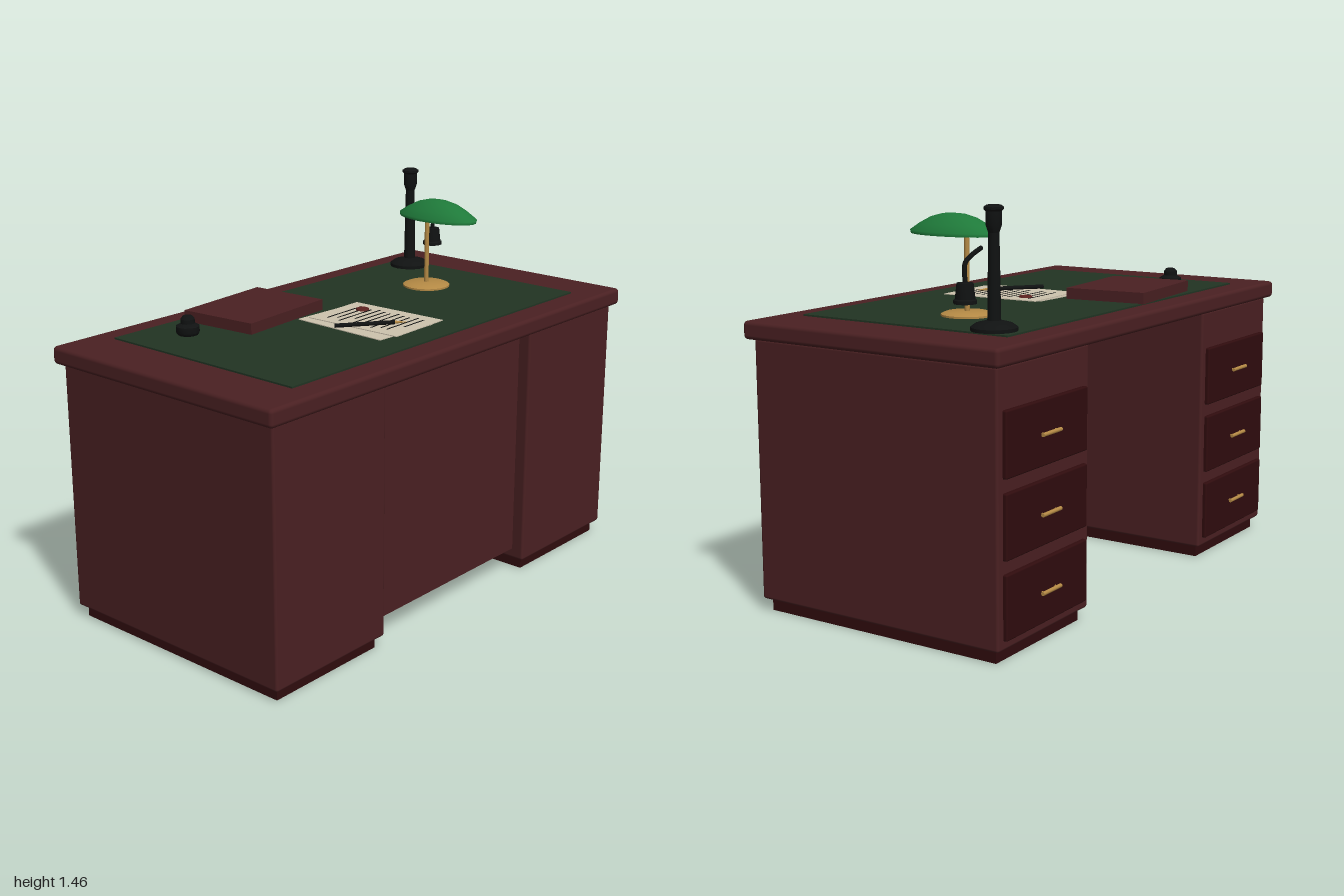
import * as THREE from 'three';
import { toCreasedNormals } from 'three/addons/utils/BufferGeometryUtils.js';
import { RoundedBoxGeometry } from 'three/addons/geometries/RoundedBoxGeometry.js';

const mat = (name, color, side = THREE.FrontSide) => {
  const m = new THREE.MeshStandardMaterial({ color, side });
  m.name = name;
  return m;
};

export function createModel() {
  const wood = mat('mahogany', 0x4a2022);
  const darkWood = mat('dark mahogany', 0x300c0e);
  const felt = mat('green leather', 0x213423);
  const shadeGreen = mat('lamp green', 0x1f7a3a, THREE.DoubleSide);
  const brass = mat('brass', 0xb58a45);
  const black = mat('black', 0x101212);
  const cream = mat('paper', 0xcdc3ae);
  const wax = mat('sealing wax', 0x5e2320);

  const desk = new THREE.Group();
  desk.name = 'writingDesk';

  const add = (parent, name, geo, material, x = 0, y = 0, z = 0) => {
    const m = new THREE.Mesh(geo, material);
    m.name = name;
    m.position.set(x, y, z);
    parent.add(m);
    return m;
  };
  const group = (name, x, y, z, turn = 0) => {
    const g = new THREE.Group();
    g.name = name;
    g.position.set(x, y, z);
    g.rotation.y = turn;
    desk.add(g);
    return g;
  };
  const box = (w, h, d) => new THREE.BoxGeometry(w, h, d);
  const rounded = (w, h, d, r) => new RoundedBoxGeometry(w, h, d, 2, r);
  const lathe = (points, sides = 20) => toCreasedNormals(
    new THREE.LatheGeometry(points.map(([r, y]) => new THREE.Vector2(r, y)), sides), 0.6);
  // Cylinder running between two points
  const rod = (parent, name, a, b, r0, r1, material) => {
    const from = new THREE.Vector3(...a), to = new THREE.Vector3(...b);
    const dir = to.clone().sub(from);
    const m = add(parent, name, new THREE.CylinderGeometry(r1, r0, dir.length(), 10), material);
    m.position.copy(from).add(to).multiplyScalar(0.5);
    m.quaternion.setFromUnitVectors(new THREE.Vector3(0, 1, 0), dir.normalize());
    return m;
  };

  // Desk top, leather inlay and rear panel
  add(desk, 'deskTop', rounded(1.06, 0.065, 2, 0.015), wood, 0, 1.0085, 0);
  add(desk, 'leatherInlay', box(0.86, 0.008, 1.6), felt, 0, 1.043, 0);
  add(desk, 'modestyPanel', box(0.04, 0.88, 0.8), wood, 0.45, 0.536, 0);

  // Two pedestals, each with three drawers
  for (const s of [1, -1]) {
    const p = group(s > 0 ? 'leftPedestal' : 'rightPedestal', 0, 0, s * 0.695);
    add(p, 'plinth', box(0.96, 0.05, 0.5), darkWood, 0, 0.025, 0);
    add(p, 'cabinet', rounded(1.01, 0.932, 0.55, 0.01), wood, 0, 0.511, 0);
    for (const y of [0.19, 0.457, 0.725]) {
      add(p, 'drawerFront', rounded(0.03, 0.222, 0.49, 0.006), darkWood, -0.505, y, 0);
      rod(p, 'drawerHandle', [-0.533, y, -0.055], [-0.533, y, 0.055], 0.007, 0.007, brass);
      for (const z of [-0.04, 0.04]) {
        rod(p, 'handlePost', [-0.518, y, z], [-0.533, y, z], 0.004, 0.004, brass);
      }
    }
  }

  // Closed book
  const book = group('book', -0.265, 1.067, 0.263, 0.09);
  add(book, 'bookCover', box(0.315, 0.042, 0.42), wood);

  // Two sheets of paper with written lines and a wax seal
  const lower = group('lowerSheet', 0.107, 1.0485, 0.065, -0.037);
  add(lower, 'sheet', box(0.405, 0.003, 0.285), cream);
  const upper = group('upperSheet', 0.118, 1.0515, 0.018, 0.037);
  add(upper, 'sheet', box(0.405, 0.003, 0.28), cream);
  const lengths = [0.2, 0.17, 0.19, 0.15, 0.2, 0.16, 0.18, 0.2, 0.17, 0.19, 0.12];
  lengths.forEach((len, i) => {
    add(upper, 'writtenLine', box(0.006, 0.001, len), black,
      -0.147 + i * 0.0298, 0.002, -0.1 + len / 2 + (i % 3) * 0.008);
  });
  add(desk, 'waxSeal', new THREE.CylinderGeometry(0.023, 0.026, 0.006, 12), wax, 0, 1.056, -0.045);

  // Fountain pen
  const pen = group('pen', 0, 1.06, 0);
  rod(pen, 'penBarrel', [0.085, 0, 0.208], [0.218, 0, 0.03], 0.008, 0.008, black);
  rod(pen, 'penNib', [0.218, 0, 0.03], [0.244, -0.002, -0.005], 0.006, 0.001, brass);

  // Inkwell with stopper
  const ink = group('inkwell', -0.265, 1.047, 0.6);
  add(ink, 'inkBottle', lathe([[0, 0], [0.036, 0], [0.043, 0.01], [0.043, 0.032],
    [0.022, 0.044], [0, 0.044]], 12), black);
  add(ink, 'stopper', lathe([[0, 0.042], [0.026, 0.042], [0.026, 0.058],
    [0.016, 0.069], [0, 0.069]], 12), black);

  // Desk lamp: round brass foot, stem and long oval shade
  const lamp = group('deskLamp', -0.065, 1.047, -0.51);
  add(lamp, 'lampFoot', lathe([[0, 0], [0.092, 0], [0.092, 0.007], [0.075, 0.014], [0, 0.017]], 28), brass);
  add(lamp, 'lampStem', new THREE.CylinderGeometry(0.009, 0.009, 0.31, 12), brass, 0, 0.165, 0);
  const shade = add(lamp, 'lampShade', new THREE.LatheGeometry(
    [[0.98, 0], [1, 0.012], [0.78, 0.037], [0.52, 0.06], [0.26, 0.072], [0, 0.075]]
      .map(([r, y]) => new THREE.Vector2(r, y)), 28), shadeGreen, 0.053, 0.278, 0);
  shade.scale.set(0.179, 1, 0.09);

  // Candlestick telephone
  const phone = group('candlestickTelephone', -0.334, 1.047, -0.735);
  add(phone, 'phoneBase', lathe([[0, 0], [0.079, 0], [0.079, 0.012], [0.062, 0.024],
    [0.024, 0.034], [0, 0.034]]), black);
  add(phone, 'phoneColumn', new THREE.CylinderGeometry(0.018, 0.023, 0.31, 14), black, 0, 0.178, 0);
  add(phone, 'mouthpiece', lathe([[0, 0.318], [0.018, 0.318], [0.027, 0.345], [0.027, 0.388],
    [0.033, 0.394], [0.033, 0.402], [0.024, 0.408], [0, 0.408]], 14), black);
  // Hanging receiver on its bent hook
  const hook = new THREE.CatmullRomCurve3([
    [0.038, 0.268, -0.02], [0.058, 0.245, -0.045], [0.069, 0.222, -0.063], [0.069, 0.155, -0.065],
  ].map((p) => new THREE.Vector3(...p)));
  add(phone, 'receiverHook', new THREE.TubeGeometry(hook, 16, 0.008, 8), black);
  add(phone, 'hookTip', new THREE.SphereGeometry(0.008, 10, 8), black, 0.038, 0.268, -0.02);
  add(phone, 'receiver', lathe([[0, 0.09], [0.039, 0.09], [0.039, 0.102], [0.034, 0.106],
    [0.028, 0.158], [0, 0.16]], 16), black, 0.069, 0, -0.065);

  return desk;
}
